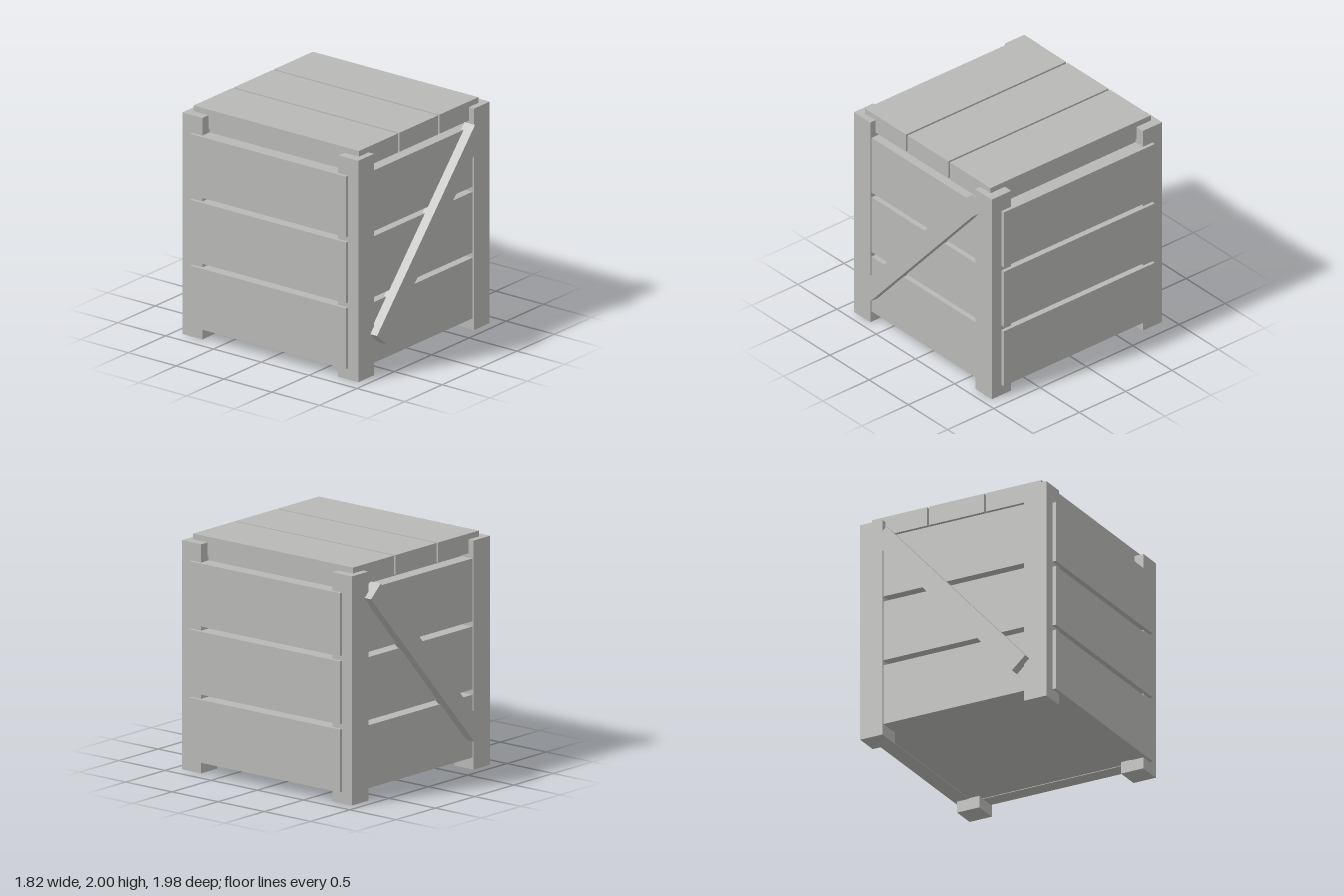
import * as THREE from 'three';

export function createModel() {
  const crate = new THREE.Group();
  crate.name = 'crate';
  const grey = new THREE.MeshStandardMaterial({ color: 0xb8b8b6 });
  grey.name = 'plain grey';

  // Box given by its lower and upper corners
  const box = (name, x0, x1, y0, y1, z0, z1) => {
    const mesh = new THREE.Mesh(new THREE.BoxGeometry(x1 - x0, y1 - y0, z1 - z0), grey);
    mesh.name = name;
    mesh.position.set((x0 + x1) / 2, (y0 + y1) / 2, (z0 + z1) / 2);
    crate.add(mesh);
    return mesh;
  };

  // Recessed body seen through the gaps between planks
  box('innerBody', -0.785, 0.785, 0.105, 1.834, -0.785, 0.785);

  // Corner posts
  for (const sx of [-1, 1]) {
    for (const sz of [-1, 1]) {
      const post = box('cornerPost', -0.105, 0.105, 0, 1.95, -0.105, 0.105);
      post.position.x = sx * 0.775;
      post.position.z = sz * 0.815;
    }
  }

  // Three planks on each of the four walls
  for (let i = 0; i < 3; i++) {
    const y0 = 0.1 + i * 0.58;
    const y1 = y0 + 0.535;
    box('frontPlank', -0.8, 0.8, y0, y1, 0.77, 0.905);
    box('backPlank', -0.8, 0.8, y0, y1, -0.905, -0.77);
    box('leftPlank', 0.77, 0.91, y0, y1, -0.815, 0.815);
    box('rightPlank', -0.91, -0.77, y0, y1, -0.815, 0.815);
  }

  // Lid planks
  for (let i = -1; i <= 1; i++) {
    box('lidPlank', i * 0.539 - 0.26, i * 0.539 + 0.26, 1.832, 2, -0.865, 0.865);
  }

  // Diagonal braces, front and back
  for (const sz of [-1, 1]) {
    const brace = box('diagonalBrace', -0.985, 0.985, 0.972, 1.138, -0.055, 0.055);
    brace.position.z = sz * 0.935;
    brace.rotation.z = Math.atan2(1.47, 1.3125);
  }

  return crate;
}
